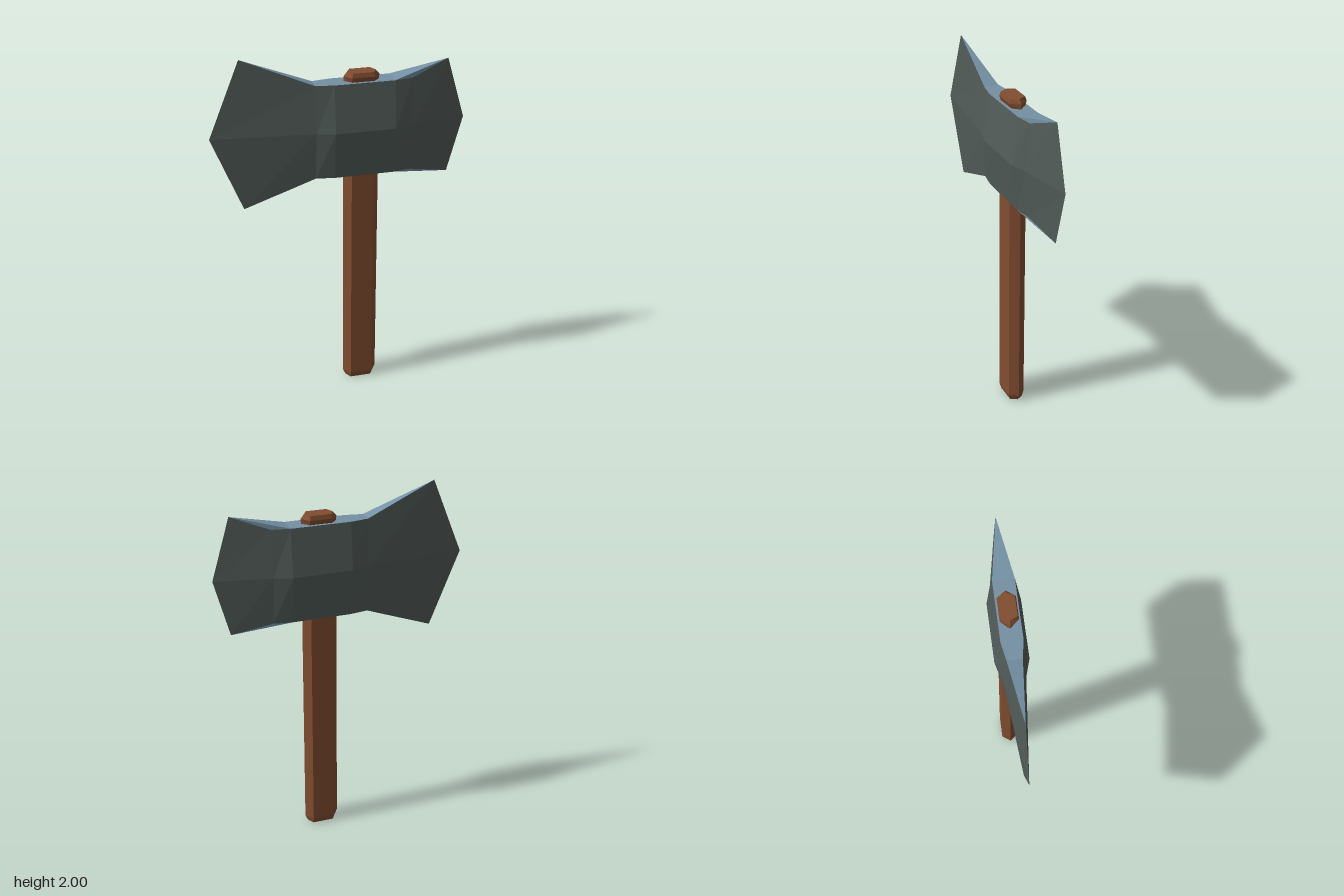
import * as THREE from 'three';

const steel = new THREE.MeshStandardMaterial({ name: 'dark steel', color: 0x525c59, flatShading: true });
const rim = new THREE.MeshStandardMaterial({ name: 'blue steel', color: 0x7491a4, flatShading: true });
const wood = new THREE.MeshStandardMaterial({ name: 'brown wood', color: 0x824e31, flatShading: true });

// Collects triangles and quads into a faceted mesh
function faceMesh(name, material, faces) {
  const pos = [];
  for (const f of faces)
    for (let i = 1; i < f.length - 1; i++) pos.push(...f[0], ...f[i], ...f[i + 1]);
  const g = new THREE.BufferGeometry();
  g.setAttribute('position', new THREE.Float32BufferAttribute(pos, 3));
  g.computeVertexNormals();
  const mesh = new THREE.Mesh(g, material);
  mesh.name = name;
  return mesh;
}

// Hexagonal bar lofted through rings of [y, half width, half flat, half depth]
function hexBar(name, cx, rings) {
  const loops = rings.map(([y, a, b, c]) =>
    [[a, 0], [b, c], [-b, c], [-a, 0], [-b, -c], [b, -c]].map(([x, z]) => [cx + x, y, z]));
  const faces = [loops[0], [...loops[loops.length - 1]].reverse()];
  for (let r = 0; r + 1 < loops.length; r++)
    for (let i = 0; i < 6; i++) {
      const j = (i + 1) % 6;
      faces.push([loops[r][i], loops[r + 1][i], loops[r + 1][j], loops[r][j]]);
    }
  return faceMesh(name, wood, faces);
}

// Double-bladed head: four body stations between two sharp cutting edges
function axeHead() {
  const MID = 1.58;
  const stations = [[-0.14, 0.04, 0.06], [-0.04, 0.057, 0.09], [0.29, 0.057, 0.09], [0.39, 0.04, 0.06]];
  const walls = [], rims = [];
  for (const sy of [1, -1]) {
    const y = sy > 0 ? 1.84 : 1.315;
    const leftTip = [-0.53, sy > 0 ? 2.0 : 1.16, 0];
    const rightTip = sy > 0 ? [0.6, 1.92, 0] : [0.615, 1.265, 0];
    for (const sz of [1, -1]) {
      const add = (list, ...f) => list.push(sy * sz > 0 ? f : f.reverse());
      const edge = [leftTip, ...stations.map(([x, z]) => [x, y, sz * z]), rightTip];
      const mid = [[-0.7, MID, 0], ...stations.map(([x, , z]) => [x, MID, sz * z]), [0.7, MID, 0]];
      const centre = edge.map(([x, ey]) => [x, ey, 0]);
      for (let i = 0; i < 5; i++) add(walls, mid[i], mid[i + 1], edge[i + 1], edge[i]);
      add(rims, leftTip, edge[1], centre[1]);
      for (let i = 1; i < 3; i++) add(rims, edge[i], edge[i + 1], centre[i + 1], centre[i]);
      // Right horn rises from the body along a central ridge
      add(rims, edge[3], edge[4], rightTip);
      add(rims, edge[3], rightTip, centre[3]);
    }
  }
  const head = new THREE.Group();
  head.name = 'axeHead';
  head.add(faceMesh('bladeSides', steel, walls), faceMesh('bladeRims', rim, rims));
  return head;
}

export function createModel() {
  const model = new THREE.Group();
  model.name = 'axe';
  model.add(
    axeHead(),
    hexBar('handle', 0.12, [[0, 0.082, 0.06, 0.038], [0.035, 0.098, 0.062, 0.048], [1.33, 0.098, 0.062, 0.048]]),
    hexBar('handleTop', 0.12, [[1.83, 0.096, 0.06, 0.036], [1.866, 0.098, 0.062, 0.048], [1.89, 0.076, 0.056, 0.042]])
  );
  return model;
}
